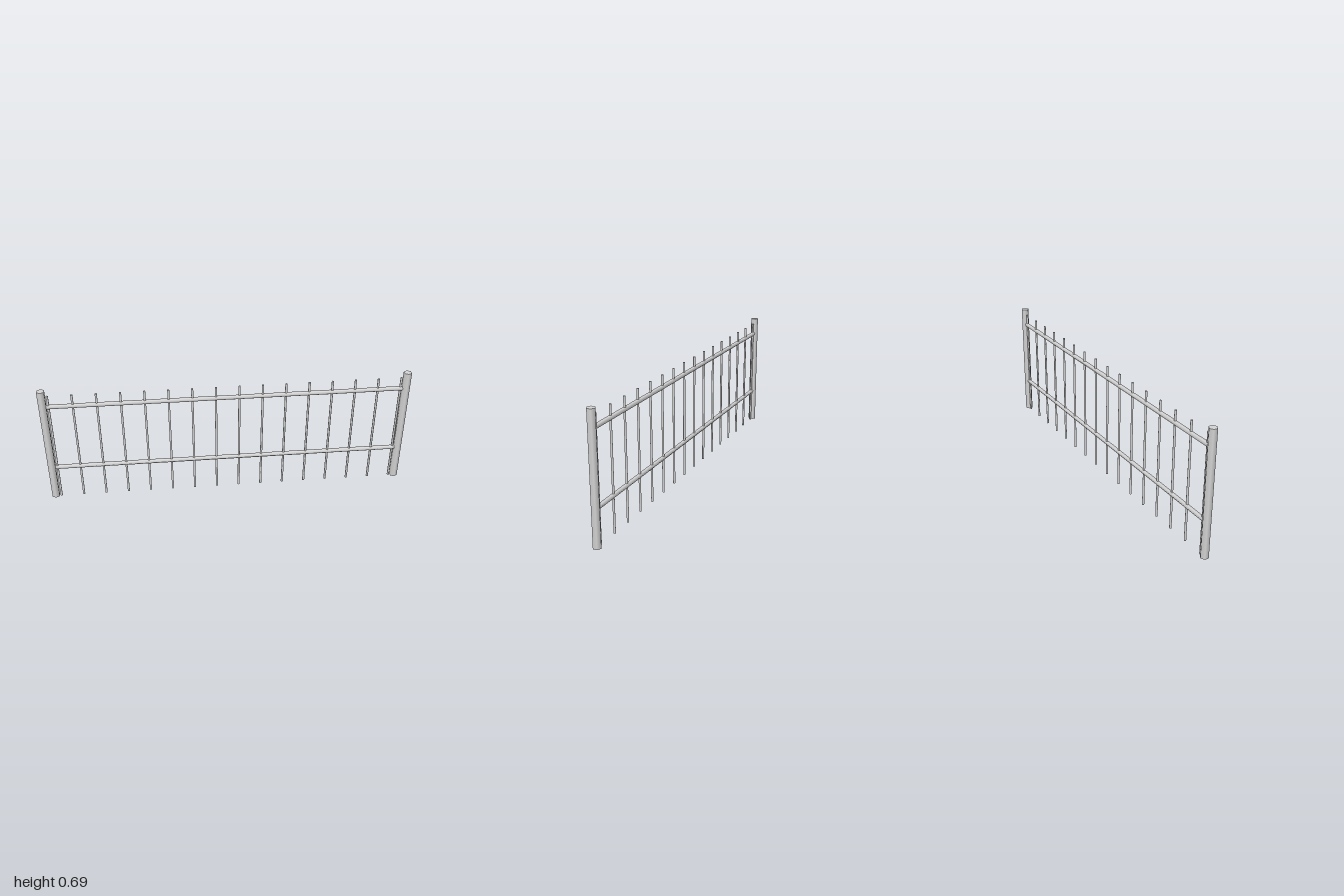
import * as THREE from 'three';

export function createModel() {
  const group = new THREE.Group();
  const steel = new THREE.MeshStandardMaterial({ color: 0xd4d4d4 });
  steel.name = 'light grey steel';

  // Six-sided bar with its corners towards the front and back
  const addBar = (name, radius, length, x, y, horizontal = false) => {
    const bar = new THREE.Mesh(new THREE.CylinderGeometry(radius, radius, length, 6), steel);
    bar.name = name;
    bar.position.set(x, y, 0);
    if (horizontal) bar.rotation.z = Math.PI / 2;
    group.add(bar);
  };

  // End posts
  const postHeight = 0.685;
  for (const [name, side] of [['rightPost', -1], ['leftPost', 1]]) {
    addBar(name, 0.0227, postHeight, side * 0.9803, postHeight / 2);
  }

  // Horizontal rails
  addBar('lowerRail', 0.012, 1.93, 0, 0.198, true);
  addBar('upperRail', 0.012, 1.93, 0, 0.588, true);

  // Evenly spaced pickets
  const count = 16, reach = 0.95, height = 0.654;
  for (let i = 0; i < count; i++) {
    const x = -reach + (2 * reach * i) / (count - 1);
    addBar(`picket${i + 1}`, 0.0065, height, x, height / 2);
  }

  return group;
}
